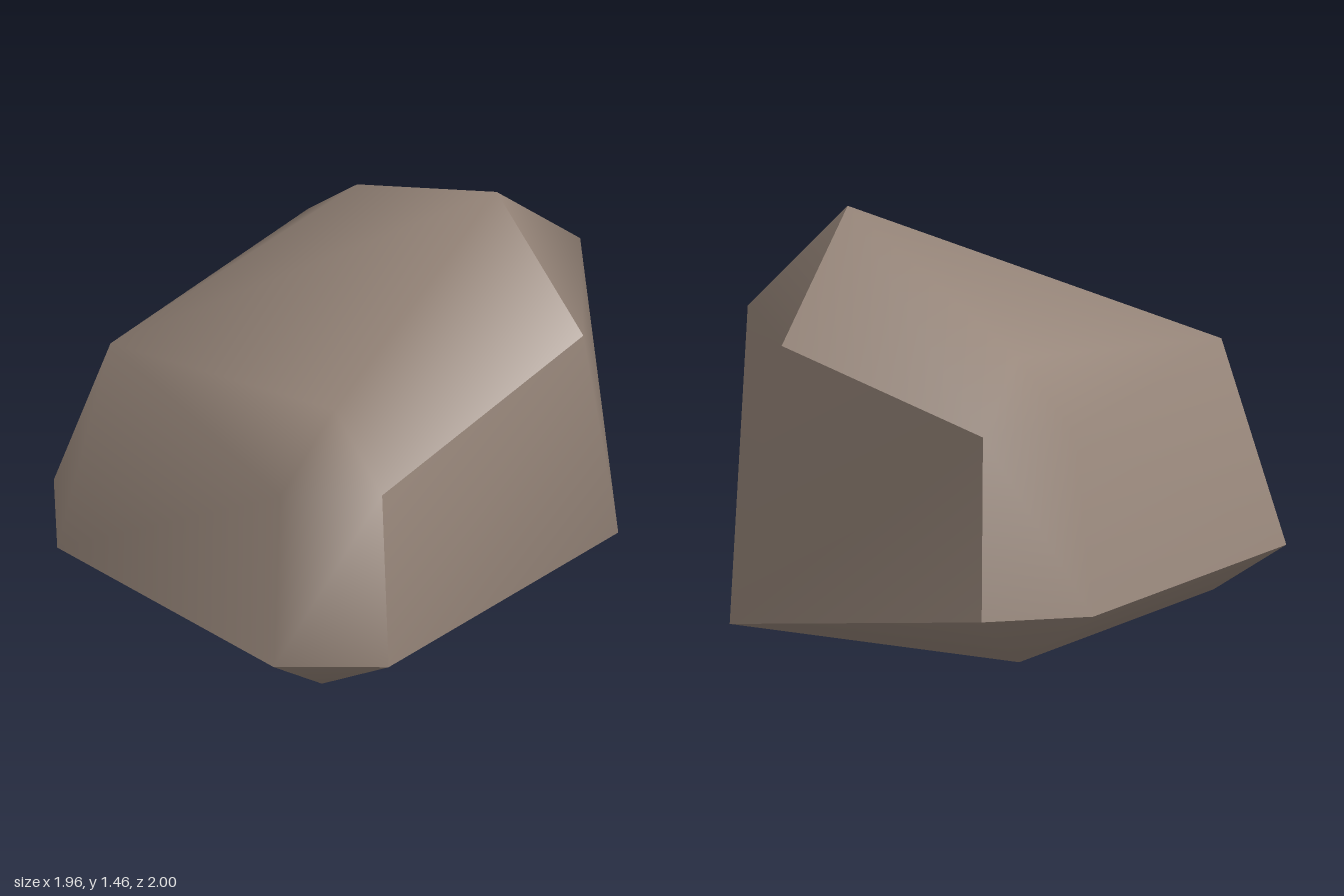
import * as THREE from 'three';

// Corner points of the boulder: a skewed block with cut corners
const P = {
  peak: [0.57, 1.46, 0.09],
  leftTop: [-0.74, 0.9, -0.17],
  frontTop: [-0.17, 1.06, 0.64],
  backTop: [0.28, 1.05, -0.64],
  rightFront: [0.78, 1.05, 0.44],
  rightBack: [0.93, 1.05, -0.12],
  frontUpA: [-0.06, 0.82, 0.85],
  frontUpB: [-0.40, 0.82, 0.76],
  backUpA: [0.48, 0.82, -0.77],
  backUpB: [0.17, 0.82, -0.86],
  frontLowA: [-0.08, 0.2, 1.0],
  frontLowB: [-0.46, 0.2, 0.89],
  backLowA: [0.55, 0.2, -0.9],
  backLowB: [0.17, 0.2, -1.0],
  leftLowA: [-0.98, 0.2, 0.0],
  leftLowB: [-0.88, 0.2, -0.39],
  rightFoot: [0.98, 0, 0.18],
  frontFoot: [-0.25, 0, 0.76],
  leftFoot: [-0.73, 0, -0.13],
  backFoot: [0.33, 0, -0.75],
};
const CENTRE = new THREE.Vector3(0, 0.55, 0);

// Smooth shell from polygons; each polygon is fanned from its first corner and turned outward
function shell(polygons) {
  const names = [...new Set(polygons.flat())];
  const points = names.map((n) => new THREE.Vector3(...P[n]));
  const index = [];
  for (const poly of polygons) {
    const ids = poly.map((n) => names.indexOf(n));
    for (let i = 1; i < ids.length - 1; i++) {
      const [a, b, c] = [ids[0], ids[i], ids[i + 1]];
      const normal = new THREE.Triangle(points[a], points[b], points[c]).getNormal(new THREE.Vector3());
      const outward = normal.dot(points[a].clone().sub(CENTRE)) > 0;
      index.push(a, ...(outward ? [b, c] : [c, b]));
    }
  }
  const geometry = new THREE.BufferGeometry().setFromPoints(points);
  geometry.setIndex(index);
  geometry.computeVertexNormals();
  return geometry;
}

export function createModel() {
  const group = new THREE.Group();
  group.name = 'boulder';
  const stone = new THREE.MeshStandardMaterial({ color: 0x968579 });
  stone.name = 'stone';

  const parts = {
    // sloping top with the rounded left, front and back sides
    weatheredTop: [
      ['peak', 'frontTop', 'leftTop', 'backTop'],
      ['peak', 'frontTop', 'frontUpA', 'rightFront'],
      ['peak', 'backTop', 'backUpA', 'rightBack'],
      ['frontTop', 'frontUpA', 'frontUpB'],
      ['backTop', 'backUpA', 'backUpB'],
      ['leftTop', 'frontUpB', 'frontTop'],
      ['leftTop', 'backUpB', 'backTop'],
      ['frontUpB', 'leftTop', 'leftLowA', 'frontLowB'],
      ['backUpB', 'leftTop', 'leftLowB', 'backLowB'],
      ['leftTop', 'leftLowA', 'leftLowB'],
      ['frontUpA', 'frontUpB', 'frontLowB', 'frontLowA'],
      ['backUpA', 'backUpB', 'backLowB', 'backLowA'],
    ],
    // broken faces that meet at the right-hand foot
    splitSide: [
      ['peak', 'rightFront', 'rightBack'],
      ['rightFront', 'rightFoot', 'rightBack'],
      ['rightFront', 'frontUpA', 'frontLowA', 'rightFoot'],
      ['backUpA', 'rightBack', 'rightFoot', 'backLowA'],
    ],
    // flat underside with its undercut rim
    underside: [
      ['frontFoot', 'rightFoot', 'backFoot', 'leftFoot'],
      ['frontLowA', 'rightFoot', 'frontFoot'],
      ['backLowA', 'rightFoot', 'backFoot'],
      ['frontLowA', 'frontLowB', 'frontFoot'],
      ['backLowA', 'backLowB', 'backFoot'],
      ['leftLowA', 'leftLowB', 'leftFoot'],
      ['leftLowA', 'frontLowB', 'frontFoot', 'leftFoot'],
      ['leftLowB', 'backLowB', 'backFoot', 'leftFoot'],
    ],
  };
  for (const [name, polygons] of Object.entries(parts)) {
    const mesh = new THREE.Mesh(shell(polygons), stone);
    mesh.name = name;
    group.add(mesh);
  }

  // the top is split along the ridge from the peak to the left corner by its fan order
  return group;
}
